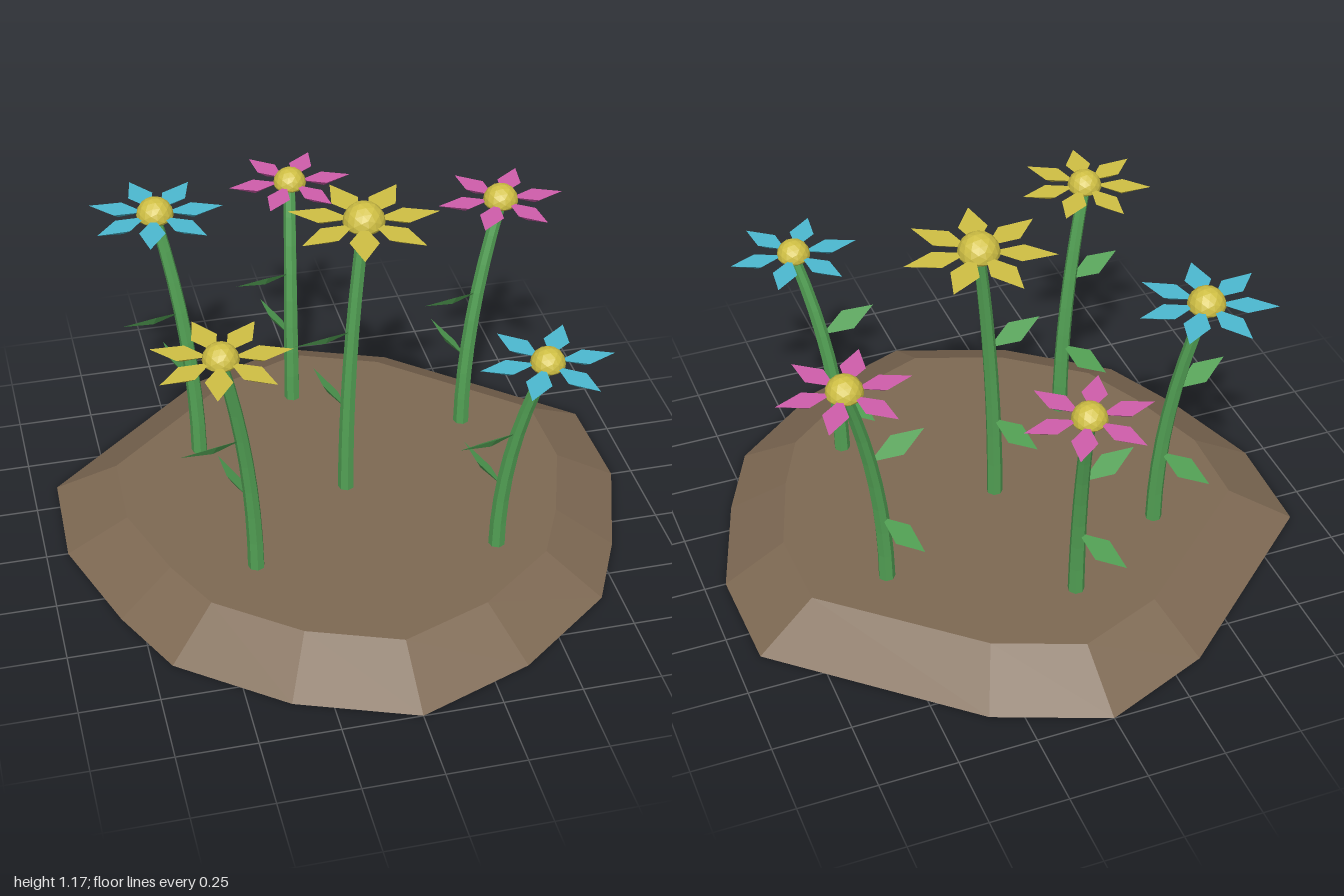
import * as THREE from 'three';

const mat = (name, color) => Object.assign(new THREE.MeshStandardMaterial({ color }), { name });

const GROUND = 0.115;

// Unshared corners give every facet its own normal
function flat(geometry) {
  const g = geometry.index ? geometry.toNonIndexed() : geometry;
  g.computeVertexNormals();
  return g;
}

function fromTriangles(points, faces) {
  const g = new THREE.BufferGeometry();
  g.setAttribute('position', new THREE.Float32BufferAttribute(faces.flat().flatMap(i => points[i]), 3));
  return flat(g);
}

function mesh(name, geometry, material) {
  const m = new THREE.Mesh(geometry, material);
  m.name = name;
  return m;
}

// Diamond blade along +x: flat on top, keeled underneath
function blade(length, halfWidth, widest, depth) {
  const m = length * widest;
  const points = [[0, 0, 0], [m, 0, halfWidth], [length, 0, 0], [m, 0, -halfWidth], [m, -depth, 0]];
  return fromTriangles(points, [[0, 1, 2], [0, 2, 3], [0, 4, 1], [4, 2, 1], [2, 4, 3], [4, 0, 3]]);
}

// Soil mound: rounded outline with a smaller flat top
function moundGeometry() {
  const half = [[0, -1], [0.35, -0.86], [0.92, -0.36], [0.93, 0], [0.81, 0.36], [0.69, 0.61], [0.37, 0.86], [0, 1]];
  const outline = [...half, ...half.slice(1, -1).reverse().map(([x, z]) => [-x, z])];
  const n = outline.length;
  const points = [
    ...outline.map(([x, z]) => [x, 0, z]),
    ...outline.map(([x, z]) => [x * 0.785, GROUND, z * 0.785]),
    [0, 0, 0], [0, GROUND, 0],
  ];
  const faces = [];
  for (let i = 0; i < n; i++) {
    const j = (i + 1) % n;
    faces.push([i, n + i, n + j], [i, n + j, j], [2 * n, i, j], [2 * n + 1, n + j, n + i]);
  }
  return fromTriangles(points, faces);
}

// Tapered stem that leans towards the head, more strongly near the top
function stemGeometry(height, dx, dz) {
  const g = new THREE.CylinderGeometry(0.02, 0.027, height, 7, 8);
  g.translate(0, height / 2, 0);
  const p = g.attributes.position;
  for (let i = 0; i < p.count; i++) {
    const t = (p.getY(i) / height) ** 2;
    p.setX(i, p.getX(i) + dx * t);
    p.setZ(i, p.getZ(i) + dz * t);
  }
  return flat(g);
}

// Flower centre: domed above, shallow below
function centreGeometry(radius) {
  const g = new THREE.IcosahedronGeometry(radius, 2);
  const p = g.attributes.position;
  for (let i = 0; i < p.count; i++) if (p.getY(i) < 0) p.setY(i, p.getY(i) * 0.4);
  return flat(g);
}

export function createModel() {
  const soil = mat('soil brown', 0x7e6953);
  const green = mat('leaf green', 0x52a054);
  const yellow = mat('yellow', 0xcfbf44);
  const blue = mat('blue', 0x4cb9d0);
  const pink = mat('pink', 0xcf5dab);

  const model = new THREE.Group();
  model.name = 'flowerBed';
  model.add(mesh('soilMound', moundGeometry(), soil));

  // base [x, z], head [x, y, z], petal count, petal reach, centre radius
  const flowers = [
    { base: [-0.435, -0.31], head: [-0.53, 0.995, -0.4], petals: 7, reach: 0.22, centre: 0.06, color: blue },
    { base: [-0.37, 0.335], head: [-0.47, 0.96, 0.4], petals: 7, reach: 0.217, centre: 0.056, color: yellow },
    { base: [0, 0], head: [0.065, 1.1, -0.035], petals: 7, reach: 0.243, centre: 0.067, color: yellow },
    { base: [-0.065, -0.54], head: [-0.035, 0.895, -0.67], petals: 6, reach: 0.206, centre: 0.055, color: pink },
    { base: [0.47, -0.27], head: [0.6, 0.93, -0.34], petals: 6, reach: 0.21, centre: 0.058, color: pink },
    { base: [0.4, 0.4], head: [0.5, 0.86, 0.5], petals: 6, reach: 0.21, centre: 0.054, color: blue },
  ];
  // fraction up the stem, sideways direction [x, z], length
  const leaves = [
    { at: 0.31, dir: [-0.34, -0.94], length: 0.235 },
    { at: 0.61, dir: [-0.91, 0.41], length: 0.215 },
  ];

  for (const { base, head, petals, reach, centre, color } of flowers) {
    const flower = new THREE.Group();
    flower.name = 'flower';
    flower.position.set(base[0], GROUND, base[1]);
    const [dx, height, dz] = [head[0] - base[0], head[1] - GROUND, head[2] - base[1]];
    flower.add(mesh('stem', stemGeometry(height - 0.01, dx, dz), green));

    // Leaves, each rolled about its own length and tipped upwards
    for (const { at, dir, length } of leaves) {
      const leaf = mesh('leaf', blade(length, 0.036, 0.5, 0.016), green);
      leaf.position.set(dx * at * at, height * at, dz * at * at);
      leaf.rotation.set(0.65, Math.atan2(-dir[1], dir[0]), 0.12, 'YXZ');
      flower.add(leaf);
    }

    const bloom = new THREE.Group();
    bloom.name = 'bloom';
    bloom.position.set(dx, height, dz);
    bloom.add(mesh('flowerCentre', centreGeometry(centre), yellow));
    const start = 0.035;
    const petalGeometry = blade(reach - start, reach * 0.19, 0.48, 0.03);
    petalGeometry.translate(start, 0.006, 0);
    for (let i = 0; i < petals; i++) {
      const petal = mesh('petal', petalGeometry, color);
      petal.rotation.y = (i / petals) * Math.PI * 2;
      bloom.add(petal);
    }
    flower.add(bloom);
    model.add(flower);
  }
  return model;
}
